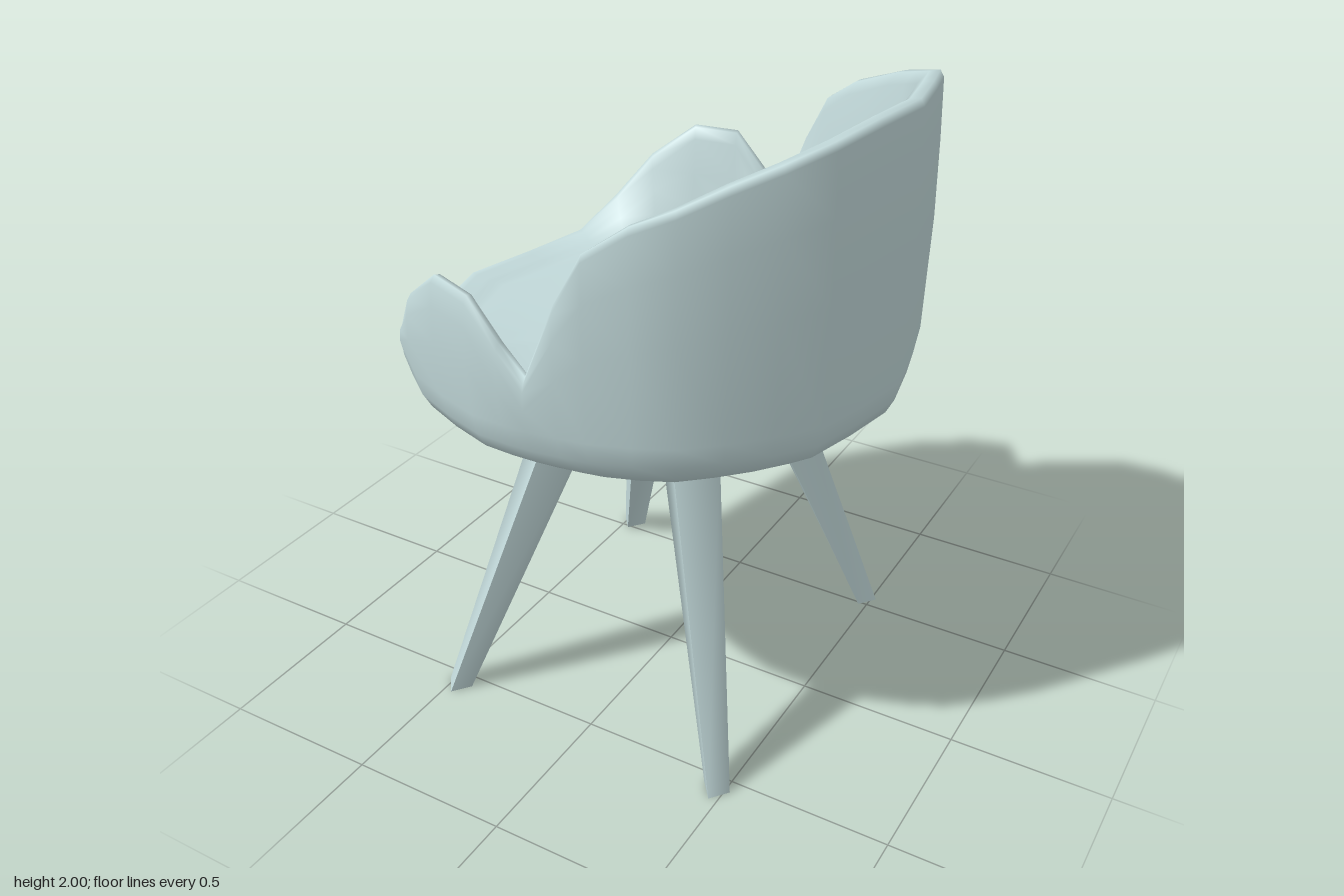
import * as THREE from 'three';

const material = new THREE.MeshStandardMaterial({ color: 0xc3dadb, side: THREE.DoubleSide });
const { lerp, smoothstep } = THREE.MathUtils;

// Half outline of the shell from the back to the front: x, z, rim height
const halfOutline = [
  [0.75, 0, 2.0], [0.715, 0.18, 1.993], [0.67, 0.35, 1.975], [0.585, 0.46, 1.935],
  [0.49, 0.56, 1.895], [0.39, 0.65, 1.845], [0.285, 0.7, 1.8], [0.17, 0.74, 1.72],
  [0.09, 0.755, 1.57], [0, 0.768, 1.35], [-0.08, 0.77, 1.43], [-0.18, 0.765, 1.54],
  [-0.32, 0.72, 1.55], [-0.46, 0.66, 1.44], [-0.56, 0.58, 1.3], [-0.645, 0.475, 1.19],
  [-0.7, 0.24, 1.185], [-0.757, 0, 1.185],
];

// Cross-section at one station: [scale of the outline, y], underside, outer wall, rim, inner wall, seat
function section(x, z, h) {
  const tall = h > 1.25;
  // The underside is drawn down towards the four legs
  const dip = (2 * x * z / (x * x + z * z)) ** 2;
  const outer = tall
    ? [[0.935, 1.078], [0.967, 1.125], [0.985, 1.19], [1, lerp(1.19, h, 0.45)], [0.997, lerp(1.19, h, 0.75)]]
    : [[0.96, 1.075], [0.985, 1.1], [0.998, 1.125], [1, 1.14], [1, 1.155]];
  // The inner wall leans in towards the seat, most of all at the back
  const lip = 0.93 - 0.035 * smoothstep(x, 0.05, 0.5);
  const base = 0.82 - 0.02 * smoothstep(x, 0.05, 0.5);
  const inner = tall
    ? [0, 0.35, 0.7, 1].map((t) => [lerp(lip, base, t), lerp(h - 0.04, Math.min(1.2, h - 0.1), t)])
    : [[0.9, h - 0.008], [0.88, h - 0.012], [0.85, h - 0.016], [base, h - 0.02]];
  return [
    [0, 0.852], [0.2, 0.875], [0.42, 0.915 - 0.02 * dip], [0.6, 0.957 - 0.04 * dip],
    [0.81, 1.01], ...outer,
    [0.99, h - 0.02], [0.975, h], [(0.975 + lip) / 2, h - 0.004], ...inner,
    [0.74, 1.165], [0.45, 1.145], [0, 1.135],
  ];
}

function shellGeometry() {
  const mirrored = halfOutline.slice(1, -1).reverse().map(([x, z, h]) => [x, -z, h]);
  const outline = [...halfOutline, ...mirrored];
  const positions = [], index = [];
  const n = outline.length, rows = section(...outline[0]).length;
  outline.forEach(([x, z, h], i) => {
    section(x, z, h).forEach(([s, y], j) => {
      positions.push(x * s, y, z * s);
      if (j === rows - 1) return;
      const a = i * rows + j, c = ((i + 1) % n) * rows + j;
      if (j < rows - 2) index.push(a, a + 1, c + 1);
      else index.push(a, a + 1, c);
      if (j > 0 && j < rows - 2) index.push(a, c + 1, c);
    });
  });
  const geometry = new THREE.BufferGeometry();
  geometry.setAttribute('position', new THREE.Float32BufferAttribute(positions, 3));
  geometry.setIndex(index);
  geometry.computeVertexNormals();
  return geometry;
}

// Square tapered leg, turned to face its corner and leaning outward (signs sx, sz)
function legGeometry(sx, sz) {
  const height = 0.96;
  const geometry = new THREE.CylinderGeometry(1, 1, height, 4, 1);
  geometry.translate(0, height / 2, 0);
  const p = geometry.attributes.position;
  for (let i = 0; i < p.count; i++) {
    const t = p.getY(i) / height;
    p.setX(i, sx * lerp(0.473, 0.207, t) + p.getX(i) * lerp(0.043, 0.1, t));
    p.setZ(i, sz * lerp(0.543, 0.252, t) + p.getZ(i) * lerp(0.054, 0.1, t));
  }
  geometry.computeVertexNormals();
  return geometry;
}

export function createModel() {
  const chair = new THREE.Group();
  chair.name = 'tubChair';

  const shell = new THREE.Mesh(shellGeometry(), material);
  shell.name = 'seatShell';
  chair.add(shell);

  for (const sx of [-1, 1]) {
    for (const sz of [-1, 1]) {
      const leg = new THREE.Mesh(legGeometry(sx, sz), material);
      leg.name = (sx < 0 ? 'front' : 'back') + 'Leg';
      chair.add(leg);
    }
  }
  return chair;
}
